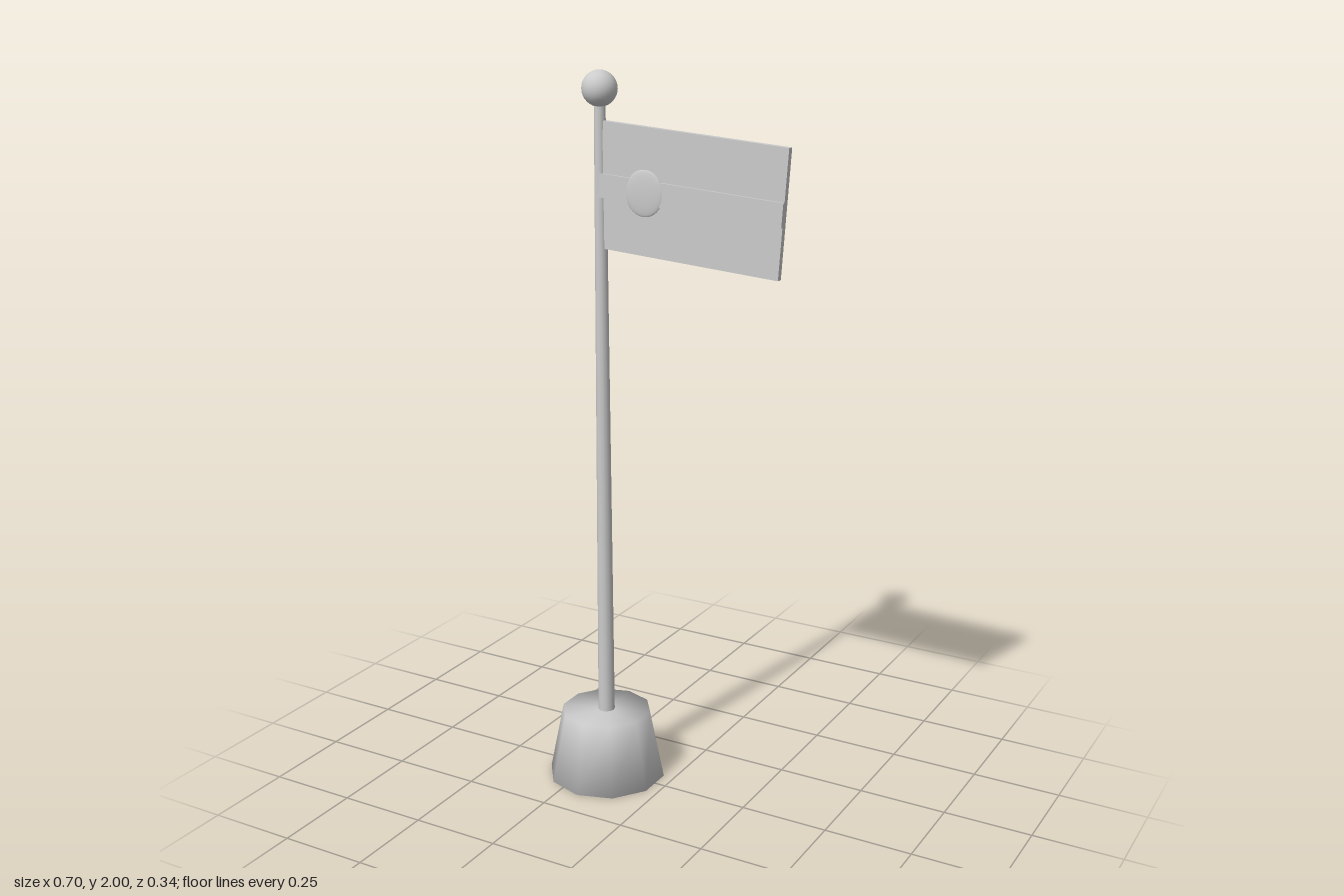
import * as THREE from 'three';
import { mergeVertices } from 'three/addons/utils/BufferGeometryUtils.js';

const POLE_X = -0.193;

// Weld a geometry so its normals flow smoothly over every edge
function welded(geometry) {
  geometry.deleteAttribute('normal');
  geometry.deleteAttribute('uv');
  const result = mergeVertices(geometry, 1e-4);
  result.computeVertexNormals();
  return result;
}

export function createModel() {
  const model = new THREE.Group();
  model.name = 'flagOnPole';
  const grey = new THREE.MeshStandardMaterial({ color: 0xcccccc });

  function add(parent, name, geometry, x, y, z = 0) {
    const mesh = new THREE.Mesh(geometry, grey);
    mesh.name = name;
    mesh.position.set(x, y, z);
    parent.add(mesh);
    return mesh;
  }

  // Ten-sided tapered base with soft shading
  add(model, 'base', welded(new THREE.CylinderGeometry(0.128, 0.168, 0.2, 10)), POLE_X, 0.1);

  // Slightly tapered pole, topped by a ball
  add(model, 'pole', new THREE.CylinderGeometry(0.015, 0.0235, 1.76, 12), POLE_X, 1.06);
  add(model, 'finial', new THREE.SphereGeometry(0.047, 24, 16), POLE_X, 1.953);

  // Flag panel, tilted slightly down, with a raised stripe and emblem disc on its front
  const flag = new THREE.Group();
  flag.name = 'flag';
  flag.position.set(0.075, 1.688, 0);
  flag.rotation.z = THREE.MathUtils.degToRad(-4);
  model.add(flag);
  add(flag, 'cloth', new THREE.BoxGeometry(0.53, 0.332, 0.017), 0, 0);
  add(flag, 'stripe', new THREE.BoxGeometry(0.53, 0.063, 0.012), 0, 0, 0.0095);
  const disc = add(flag, 'disc', new THREE.SphereGeometry(1, 24, 16), -0.129, -0.002, 0.0135);
  disc.scale.set(0.056, 0.061, 0.007);

  return model;
}
